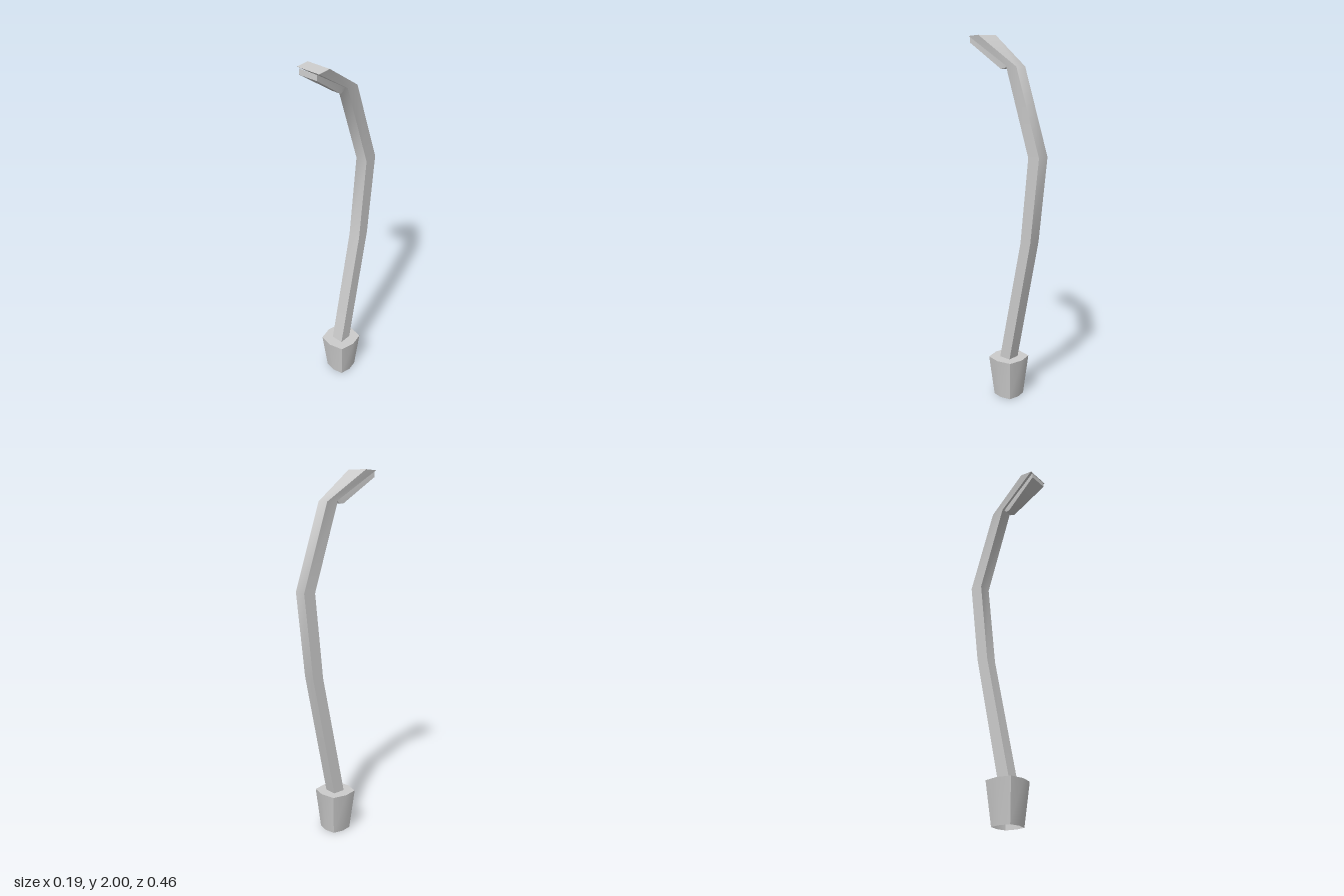
import * as THREE from 'three';
import { mergeGeometries, toCreasedNormals } from 'three/addons/utils/BufferGeometryUtils.js';

// Skins a list of equal-length rings, each counter-clockwise seen from the far end.
function loft(rings, capStart, capEnd) {
  const n = rings[0].length;
  const build = (tris) => {
    const g = new THREE.BufferGeometry();
    g.setAttribute('position', new THREE.Float32BufferAttribute(tris.flat(), 3));
    return toCreasedNormals(g, 0.9);
  };
  const sides = [];
  for (let r = 0; r < rings.length - 1; r++) {
    const a = rings[r], b = rings[r + 1];
    for (let i = 0; i < n; i++) {
      const j = (i + 1) % n;
      sides.push(a[i], a[j], b[j], a[i], b[j], b[i]);
    }
  }
  const parts = [build(sides)];
  const cap = (ring) => {
    const tris = [];
    for (let i = 1; i < n - 1; i++) tris.push(ring[0], ring[i], ring[i + 1]);
    parts.push(build(tris));
  };
  if (capStart) cap([...rings[0]].reverse());
  if (capEnd) cap(rings[rings.length - 1]);
  return mergeGeometries(parts);
}

// Four-cornered section: half width, then front and back edge as z, y.
const section = ([w, zf, yf, zb, yb]) =>
  [[-w, yf, zf], [w, yf, zf], [w, yb, zb], [-w, yb, zb]];

// Eight-sided section with separate reach along the axes and at the corners.
function baseRing(y, axis, corner) {
  const ring = [];
  for (let i = 0; i < 8; i++) {
    const a = i * Math.PI / 4;
    const r = i % 2 ? corner * Math.SQRT2 : axis;
    ring.push([Math.sin(a) * r, y, Math.cos(a) * r + 0.006]);
  }
  return ring;
}

export function createModel() {
  const group = new THREE.Group();
  group.name = 'streetLamp';
  const solid = new THREE.MeshStandardMaterial({ color: 0xcccccc });
  const open = new THREE.MeshStandardMaterial({ color: 0xcccccc, side: THREE.DoubleSide });
  const add = (name, geometry, material) => {
    const mesh = new THREE.Mesh(geometry, material);
    mesh.name = name;
    group.add(mesh);
  };

  // Tapered foot, closed on top and open underneath
  add('base', loft([baseRing(0, 0.07, 0.058), baseRing(0.228, 0.097, 0.079)], false, true), open);

  // Bent pole that widens into the lamp arm
  add('pole', loft([
    [0.035, 0.04, 0.228, -0.03, 0.228],
    [0.035, -0.107, 0.915, -0.175, 0.925],
    [0.035, -0.158, 1.38, -0.229, 1.385],
    [0.035, -0.005, 1.845, -0.076, 1.84],
    [0.069, 0.227, 1.995, 0.157, 2.0],
  ].map(section), false, true), solid);

  // Light panel hanging below the arm, slightly narrower than it
  add('lampPanel', loft([
    [0.022, 0.012, 1.831, 0.0, 1.846],
    [0.027, 0.037, 1.827, 0.023, 1.861],
    [0.056, 0.229, 1.961, 0.227, 1.99],
  ].map(section), true, true), solid);

  return group;
}
